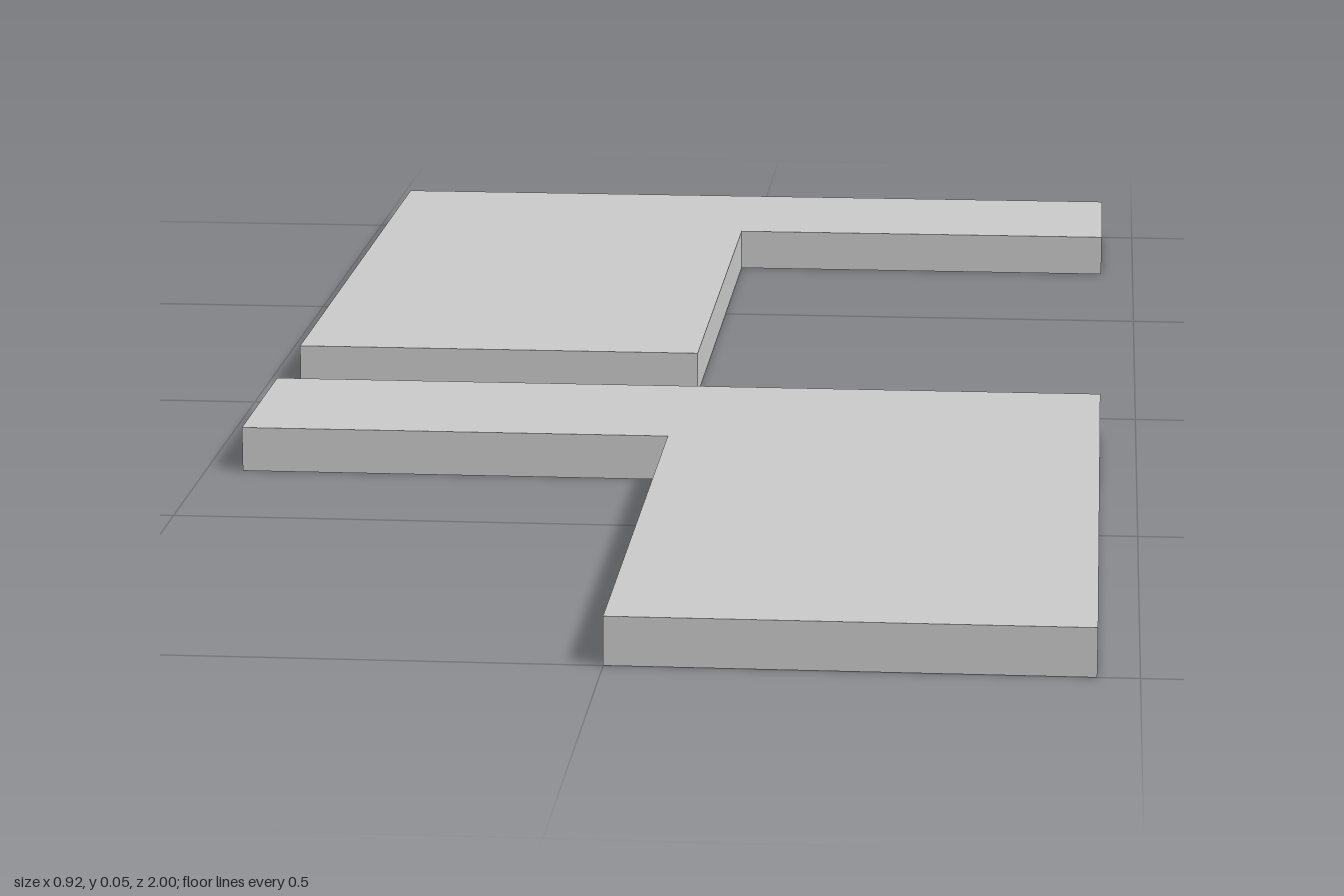
import * as THREE from 'three';

const HALF = 0.46;      // half the width of a panel
const LENGTH = 0.92;    // depth of the wide leg
const ARM = 0.23;       // depth of the narrow arm
const THICKNESS = 0.048;

// L-shaped slab: wide leg on one side, arm reaching to the other along the back edge
function lPanel(name, legSide, backZ, material) {
  const outline = [
    [HALF, 0], [HALF, LENGTH], [0, LENGTH], [0, ARM], [-HALF, ARM], [-HALF, 0],
  ].map(([x, z]) => new THREE.Vector2(legSide * x, -(backZ + z)));
  const geometry = new THREE.ExtrudeGeometry(new THREE.Shape(outline), {
    depth: THICKNESS, bevelEnabled: false,
  });
  geometry.rotateX(-Math.PI / 2);
  const mesh = new THREE.Mesh(geometry, material);
  mesh.name = name;
  return mesh;
}

export function createModel() {
  const group = new THREE.Group();
  group.name = 'panelPair';
  const material = new THREE.MeshStandardMaterial({ color: 0xcccccc });
  group.add(
    lPanel('backPanel', -1, -1, material),
    lPanel('frontPanel', 1, 0.08, material),
  );
  return group;
}
